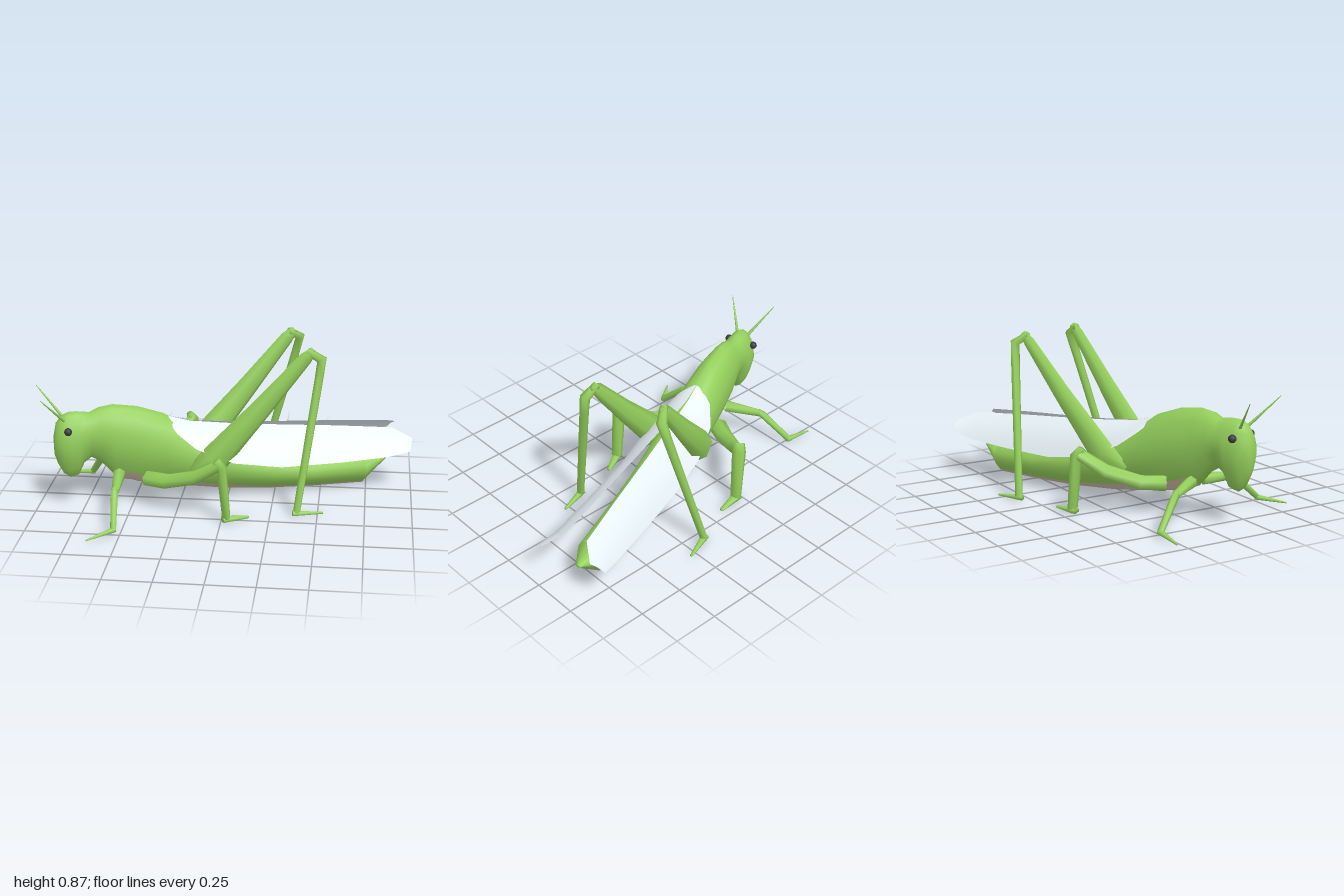
import * as THREE from 'three';

const green = new THREE.MeshStandardMaterial({ color: 0x95d05c });
const beige = new THREE.MeshStandardMaterial({ color: 0xcdbea4 });
const wingMat = new THREE.MeshStandardMaterial({ color: 0xe8f2f8, side: THREE.DoubleSide });
const dark = new THREE.MeshStandardMaterial({ color: 0x3a3a42 });

// Skin a list of equal-length rings of Vector3
function skin(rings, closed) {
  const rows = rings.slice();
  if (closed) {
    const centre = (r) => {
      const c = r.reduce((a, p) => a.add(p), new THREE.Vector3()).divideScalar(r.length);
      return r.map(() => c);
    };
    rows.unshift(centre(rings[0]));
    rows.push(centre(rings[rings.length - 1]));
  }
  const n = rows[0].length, index = [];
  for (let i = 0; i < rows.length - 1; i++) {
    for (let j = 0; j < (closed ? n : n - 1); j++) {
      const a = i * n + j, b = i * n + (j + 1) % n;
      index.push(a, b, a + n, b, b + n, a + n);
    }
  }
  const g = new THREE.BufferGeometry().setFromPoints(rows.flat());
  g.setIndex(index);
  g.computeVertexNormals();
  return g;
}

function part(name, geometry, material) {
  const m = new THREE.Mesh(geometry, material);
  m.name = name;
  return m;
}

// Body cross-sections: [position along body, top, bottom, half width]
const headSections = [
  [-0.945, 0.42, 0.31, 0.03], [-0.93, 0.49, 0.26, 0.055], [-0.90, 0.53, 0.20, 0.075],
  [-0.865, 0.545, 0.175, 0.082], [-0.82, 0.545, 0.185, 0.082], [-0.79, 0.54, 0.25, 0.08],
  [-0.75, 0.535, 0.28, 0.076], [-0.70, 0.56, 0.25, 0.082],
];
const trunkSections = [
  [-0.63, 0.57, 0.17, 0.092], [-0.50, 0.55, 0.12, 0.108], [-0.36, 0.50, 0.095, 0.118],
  [-0.22, 0.42, 0.07, 0.122], [-0.05, 0.34, 0.045, 0.125], [0.20, 0.25, 0.022, 0.12],
  [0.45, 0.205, 0.012, 0.112], [0.76, 0.187, 0.006, 0.095],
];
const tailSections = [trunkSections[7], [0.905, 0.15, 0.135, 0.014]];

// Arc of a 16-sided section; step 0 is the underside
function arc([s, top, bottom, hw], first, count, drop) {
  return Array.from({ length: count }, (_, i) => {
    const a = (first + i) * Math.PI / 8, c = Math.cos(a);
    const taper = 1 - 0.3 * Math.max(c, 0);
    return new THREE.Vector3(s, (top + bottom) / 2 - ((top - bottom) / 2 + drop) * c,
      -(hw + drop) * taper * Math.sin(a));
  });
}
const fullRing = (s) => arc(s, 0, 16, 0);
const underside = (s) => arc(s, -2, 5, 0.003);

// Six-sided limb through joints [x, y, z, radius]; flat narrows it sideways
function limb(joints, side, ref, flat) {
  const p = joints.map(([x, y, z]) => new THREE.Vector3(x, y, z * side));
  const dir = (a, b) => p[b].clone().sub(p[a]).normalize();
  return skin(joints.map((joint, i) => {
    const t = new THREE.Vector3();
    if (i > 0) t.add(dir(i - 1, i));
    if (i < p.length - 1) t.add(dir(i, i + 1));
    t.normalize();
    const u = t.clone().cross(ref).normalize(), v = t.clone().cross(u);
    return Array.from({ length: 6 }, (_, k) => {
      const a = k * Math.PI / 3;
      return p[i].clone().addScaledVector(u, joint[3] * Math.cos(a))
        .addScaledVector(v, joint[3] * flat * Math.sin(a));
    });
  }), true);
}

const X = new THREE.Vector3(1, 0, 0), Z = new THREE.Vector3(0, 0, 1);

// Limbs: name, reference axis, flatness, joints
const hindLeg = [
  ['hindThigh', Z, 0.65, [[-0.21, 0.19, 0.105, 0.045], [-0.11, 0.27, 0.15, 0.085],
    [0.15, 0.56, 0.175, 0.058], [0.37, 0.815, 0.193, 0.038], [0.415, 0.86, 0.195, 0.02]]],
  ['hindShin', Z, 1, [[0.38, 0.855, 0.19, 0.02], [0.452, 0.81, 0.218, 0.028],
    [0.43, 0.70, 0.24, 0.024], [0.285, 0.02, 0.378, 0.02]]],
  ['hindFoot', Z, 1.3, [[0.265, 0.018, 0.378, 0.016], [0.43, 0.008, 0.383, 0.006]]],
];
const middleLeg = [
  ['middleThigh', Z, 1.25, [[-0.46, 0.16, 0.07, 0.042], [-0.37, 0.17, 0.16, 0.04],
    [-0.24, 0.23, 0.28, 0.036], [-0.13, 0.32, 0.362, 0.03]]],
  ['middleShin', Z, 1.4, [[-0.145, 0.345, 0.357, 0.023], [-0.12, 0.31, 0.37, 0.028],
    [-0.095, 0.025, 0.374, 0.022]]],
  ['middleFoot', Z, 1.6, [[-0.115, 0.02, 0.378, 0.018], [0.03, 0.01, 0.352, 0.007]]],
];
const frontLeg = [
  ['frontThigh', X, 1, [[-0.61, 0.19, 0.05, 0.034], [-0.66, 0.175, 0.24, 0.021]]],
  ['frontShin', X, 1, [[-0.658, 0.185, 0.227, 0.016], [-0.666, 0.165, 0.257, 0.021],
    [-0.698, 0.03, 0.408, 0.017]]],
  ['frontFoot', Z, 1.2, [[-0.69, 0.03, 0.402, 0.016], [-0.845, 0.012, 0.465, 0.004]]],
];
const antenna = [
  ['antenna', Z, 1, [[-0.885, 0.50, 0.028, 0.009], [-1.015, 0.66, 0.132, 0.002]]],
];

// Wing ribs: upper edge [x, y, z], then outer lower edge [x, y, z]
const ribs = [
  [-0.355, 0.492, 0, -0.35, 0.475, 0.02], [-0.30, 0.472, 0.002, -0.30, 0.41, 0.10],
  [-0.21, 0.445, 0.004, -0.209, 0.335, 0.153], [-0.01, 0.42, 0.013, -0.011, 0.25, 0.184],
  [0.255, 0.395, 0.026, 0.253, 0.205, 0.185], [0.60, 0.367, 0.043, 0.58, 0.205, 0.188],
  [0.912, 0.337, 0.06, 0.845, 0.215, 0.191], [1.005, 0.295, 0.135, 0.975, 0.242, 0.2],
];
function wing(side) {
  return skin(ribs.map(([x0, y0, z0, x1, y1, z1]) => {
    const row = [0, 0.25, 0.5, 0.75, 1].map((k) => {
      const bulge = 0.4 * k * (1 - k) * (z1 - z0);
      return new THREE.Vector3(x0 + (x1 - x0) * k, y0 + (y1 - y0) * k + bulge,
        side * (z0 + (z1 - z0) * k + bulge * 0.6));
    });
    return side > 0 ? row : row.reverse();
  }), false);
}

export function createModel() {
  const model = new THREE.Group();
  model.name = 'grasshopper';

  // Head, thorax and abdomen in one skin, then the creased tail wedge
  model.add(part('body', skin([...headSections, ...trunkSections].map(fullRing), true), green));
  model.add(part('tailTip', skin(tailSections.map(fullRing), true), green));

  // Pale underside
  model.add(part('belly', skin(trunkSections.map(underside), false), beige));
  model.add(part('tailUnderside', skin(tailSections.map(underside), false), beige));

  // Paired legs, antennae, wings and eyes
  for (const side of [1, -1]) {
    const half = new THREE.Group();
    half.name = side > 0 ? 'leftSide' : 'rightSide';
    for (const [name, ref, flat, joints] of [hindLeg, middleLeg, frontLeg, antenna].flat()) {
      half.add(part(name, limb(joints, side, ref, flat), green));
    }
    half.add(part('wing', wing(side), wingMat));
    const eye = part('eye', new THREE.SphereGeometry(0.021, 12, 8), dark);
    eye.position.set(-0.876, 0.46, 0.077 * side);
    half.add(eye);
    model.add(half);
  }

  // The insect stands turned on its base
  model.rotation.y = 0.323;
  model.position.z = -0.108;
  const root = new THREE.Group();
  root.add(model);
  return root;
}
